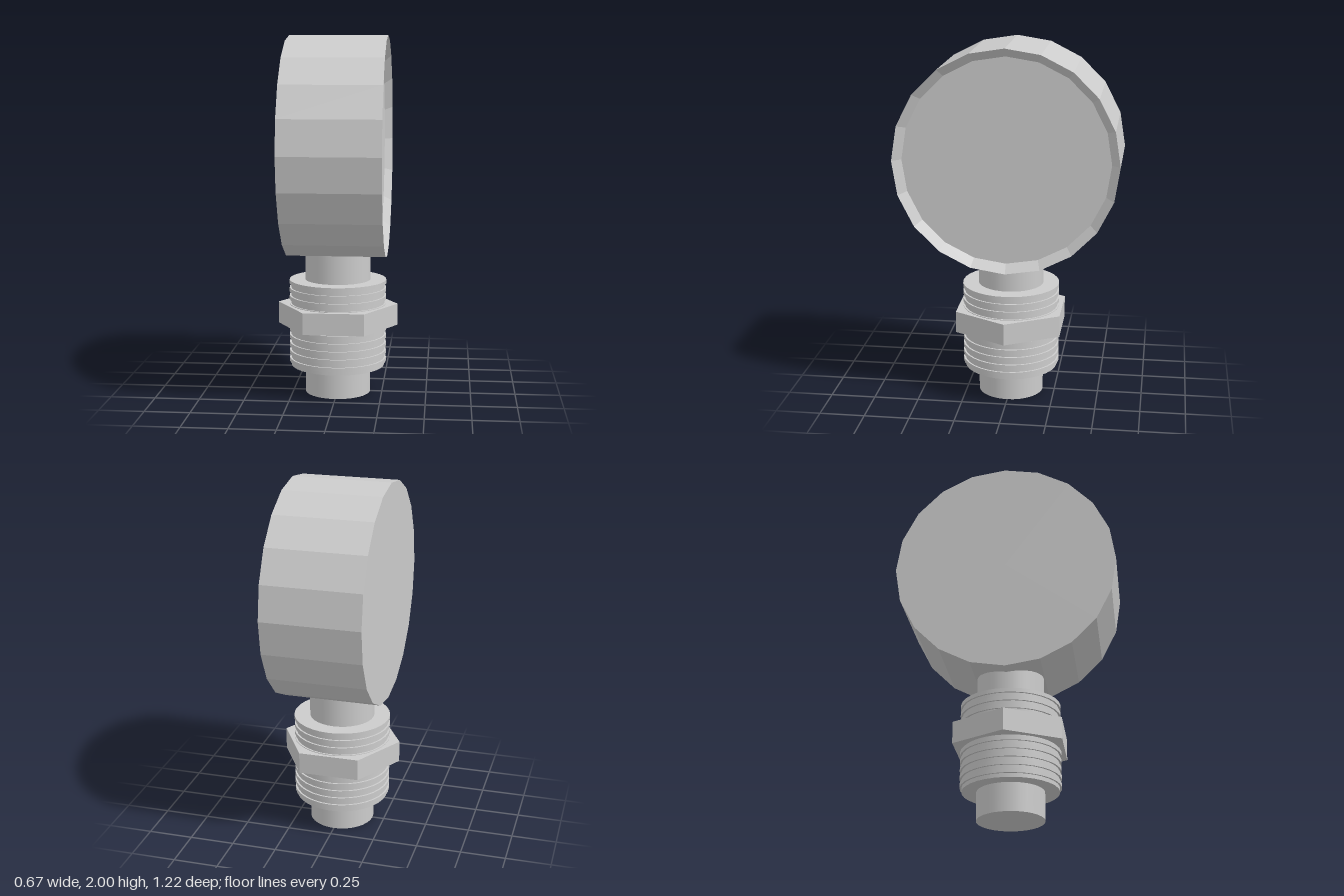
import * as THREE from 'three';

export function createModel() {
  const group = new THREE.Group();
  group.name = 'pressureGauge';
  const smooth = new THREE.MeshStandardMaterial({ color: 0xcccccc });
  const flat = new THREE.MeshStandardMaterial({ color: 0xcccccc, flatShading: true });

  // Upright cylinder from height y0 to y1
  function cylinder(name, radius, y0, y1, sides = 32, material = smooth) {
    const mesh = new THREE.Mesh(new THREE.CylinderGeometry(radius, radius, y1 - y0, sides), material);
    mesh.position.y = (y0 + y1) / 2;
    mesh.name = name;
    group.add(mesh);
    return mesh;
  }

  // Faceted dial housing: flat back at -x, bevelled rim and sunken dial at +x
  const profile = [[0, -0.268], [0.612, -0.268], [0.612, 0.276], [0.565, 0.231], [0, 0.231]]
    .map(([r, h]) => new THREE.Vector2(r, h));
  const housing = new THREE.Mesh(new THREE.LatheGeometry(profile, 20).rotateZ(-Math.PI / 2), flat);
  housing.position.y = 1.388;
  housing.name = 'dialHousing';
  group.add(housing);

  // Stem running through the fitting into the housing
  cylinder('stem', 0.183, 0, 0.85);

  // Threaded fitting with raised rings at an even pitch
  cylinder('threadCore', 0.262, 0.156, 0.64);
  const pitch = 0.0445;
  for (let i = 0; i < 11; i++) {
    const top = 0.2 + i * pitch;
    if (top > 0.4 && top < 0.5) continue; // hidden inside the nut
    cylinder('threadRing', 0.272, top - pitch / 2, top);
  }

  // Hexagonal nut with corners on the x axis
  cylinder('hexNut', 0.336, 0.387, 0.508, 6, flat).rotation.y = Math.PI / 6;

  return group;
}
